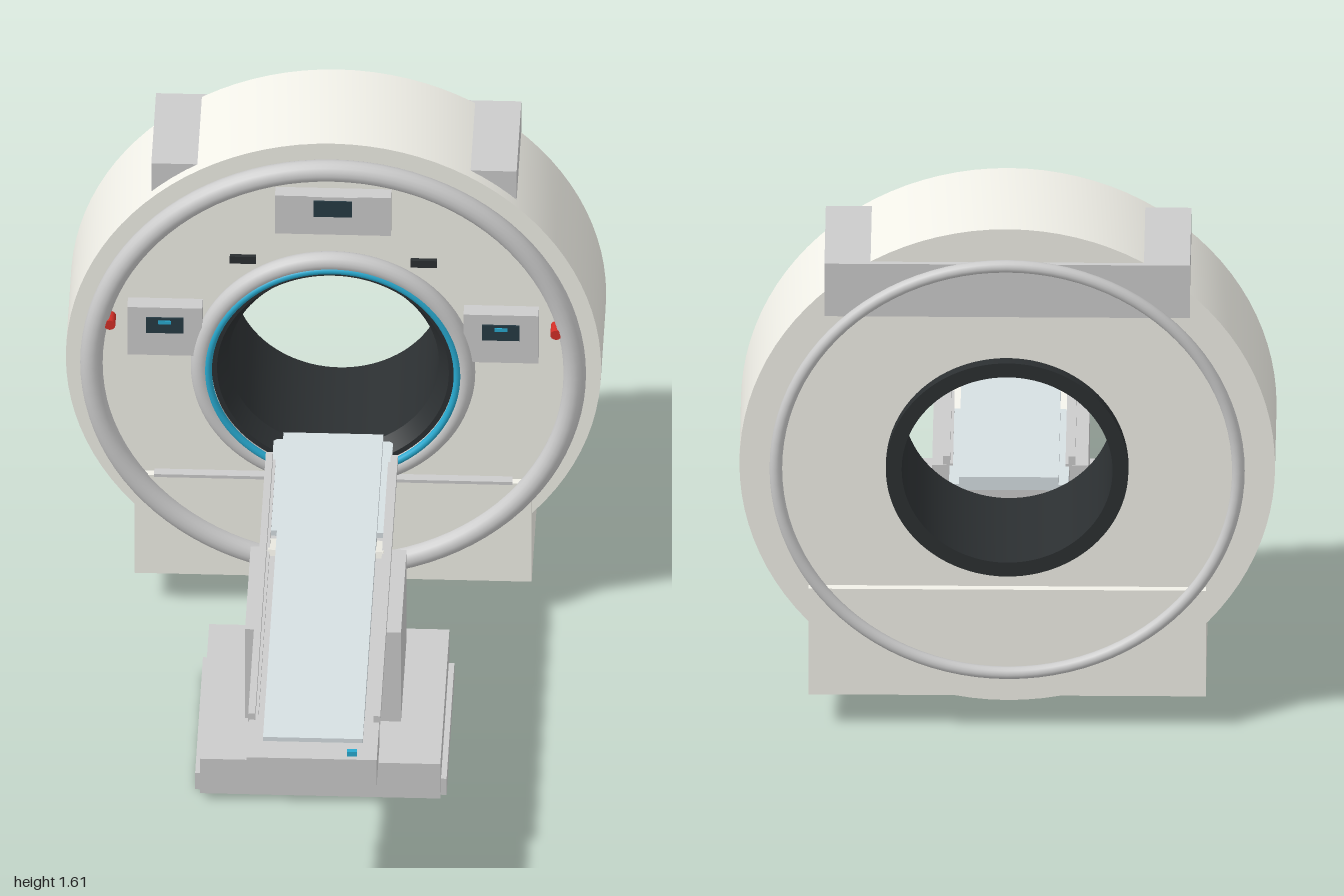
import * as THREE from 'three';
import { toCreasedNormals } from 'three/addons/utils/BufferGeometryUtils.js';

const AXIS_Y = 0.845; // height of the bore axis

const mat = (color) => new THREE.MeshStandardMaterial({ color });
const GREY = mat(0xcccccc);
const SHELL = mat(0xf1f0e8);
const DARK = mat(0x2b2f31);
const SCREEN = mat(0x263a44);
const CYAN = mat(0x28a9cf);
const RED = mat(0xd22f27);
const PAD = mat(0xd6dfe2);

export function createModel() {
  const model = new THREE.Group();

  const add = (parent, name, geometry, material) => {
    const mesh = new THREE.Mesh(geometry, material);
    mesh.name = name;
    parent.add(mesh);
    return mesh;
  };

  // Box given by its limits on each axis
  const box = (parent, name, [x0, x1], [y0, y1], [z0, z1], material = GREY) => {
    const mesh = add(parent, name, new THREE.BoxGeometry(x1 - x0, y1 - y0, z1 - z0), material);
    mesh.position.set((x0 + x1) / 2, (y0 + y1) / 2, (z0 + z1) / 2);
    return mesh;
  };

  // Solid of revolution about the bore axis; profile is [radius, z]
  const turned = (parent, name, profile, material) => {
    const points = profile.map(([r, z]) => new THREE.Vector2(r, z));
    const geometry = new THREE.LatheGeometry(points, 96).rotateX(Math.PI / 2);
    const mesh = add(parent, name, toCreasedNormals(geometry, 0.5), material);
    mesh.position.y = AXIS_Y;
    return mesh;
  };

  const hoop = (parent, name, radius, tube, z, material = GREY) => {
    const mesh = add(parent, name, new THREE.TorusGeometry(radius, tube, 16, 96), material);
    mesh.position.set(0, AXIS_Y, z);
    return mesh;
  };

  // ---- Gantry ----
  const gantry = new THREE.Group();
  gantry.name = 'gantry';
  model.add(gantry);

  turned(gantry, 'gantryShell',
    [[0.335, -0.953], [0.762, -0.953], [0.762, -0.588], [0.335, -0.588], [0.335, -0.953]], SHELL);
  turned(gantry, 'boreLiner',
    [[0.3, -0.985], [0.345, -0.985], [0.345, -0.548], [0.33, -0.548], [0.3, -0.6], [0.3, -0.985]], DARK);
  hoop(gantry, 'frontRim', 0.688, 0.032, -0.56);
  hoop(gantry, 'backRim', 0.658, 0.018, -0.982);
  hoop(gantry, 'boreBezel', 0.377, 0.028, -0.555);
  hoop(gantry, 'boreLightRing', 0.355, 0.011, -0.538, CYAN);

  // Foot, seam and upper cross housing
  box(gantry, 'gantryFoot', [-0.565, 0.565], [0.11, 0.452], [-0.975, -0.566], SHELL);
  box(gantry, 'footSeam', [-0.51, 0.51], [0.45, 0.46], [-0.6, -0.56]);
  box(gantry, 'topHousing', [-0.52, 0.52], [1.4, 1.5], [-0.955, -0.622]);
  box(gantry, 'topBackPanel', [-0.52, 0.52], [1.33, 1.5], [-0.967, -0.94]);

  // Upper display
  box(gantry, 'topDisplayPanel', [-0.165, 0.165], [1.32, 1.452], [-0.6, -0.545]);
  box(gantry, 'topDisplayBezel', [-0.07, 0.07], [1.374, 1.454], [-0.56, -0.539]);
  box(gantry, 'topDisplayScreen', [-0.055, 0.055], [1.388, 1.442], [-0.55, -0.535], SCREEN);

  // Side controls, sensors and stop buttons
  for (const s of [-1, 1]) {
    const span = (a, b) => (s > 0 ? [a, b] : [-b, -a]);
    box(gantry, 'controlPanel', span(0.372, 0.585), [0.89, 1.055], [-0.6, -0.54]);
    box(gantry, 'controlScreen', span(0.425, 0.532), [0.97, 1.022], [-0.55, -0.535], SCREEN);
    box(gantry, 'controlIndicator', span(0.46, 0.498), [1.003, 1.014], [-0.54, -0.532], CYAN);
    box(gantry, 'sensorWindow', span(0.22, 0.295), [1.19, 1.214], [-0.6, -0.575], DARK);
    const stop = add(gantry, 'stopButton',
      new THREE.CylinderGeometry(0.016, 0.016, 0.05, 20).rotateX(Math.PI / 2), RED);
    stop.position.set(s * 0.635, 0.99, -0.565);
  }

  // ---- Patient table ----
  const table = new THREE.Group();
  table.name = 'patientTable';
  model.add(table);

  box(table, 'tableBase', [-0.342, 0.342], [0.02, 0.14], [-0.28, 0.382]);
  box(table, 'pedestal', [-0.222, 0.222], [0.14, 0.45], [-0.23, 0.177]);

  // Tilted lift arm under the table
  const arm = add(table, 'liftArm', new THREE.BoxGeometry(0.33, 0.36, 0.308), SHELL);
  arm.position.set(0, 0.373, -0.113);
  arm.rotation.x = -0.297;

  box(table, 'tableBody', [-0.172, 0.172], [0.495, 0.572], [-0.03, 0.8]);
  box(table, 'tableBridge', [-0.17, 0.17], [0.44, 0.56], [-0.58, -0.05]);
  box(table, 'bridgeTop', [-0.17, 0.17], [0.56, 0.578], [-0.58, -0.13], PAD);
  box(table, 'tableEnd', [-0.185, 0.185], [0.5, 0.588], [0.8, 1]);
  box(table, 'mattress', [-0.142, 0.142], [0.565, 0.602], [-0.58, 0.918], PAD);
  box(table, 'tableButton', [0.1, 0.128], [0.585, 0.604], [0.97, 0.985], CYAN);

  // Side rails and floor skids
  for (const s of [-1, 1]) {
    const span = (a, b) => (s > 0 ? [a, b] : [-b, -a]);
    box(table, 'sideRail', span(0.168, 0.188), [0.582, 0.61], [-0.47, 0.815]);
    box(table, 'railSupport', span(0.16, 0.178), [0.565, 0.585], [-0.47, 0.8]);
    box(table, 'floorSkid', span(0.192, 0.358), [0, 0.056], [-0.235, 0.335]);
  }

  return model;
}
